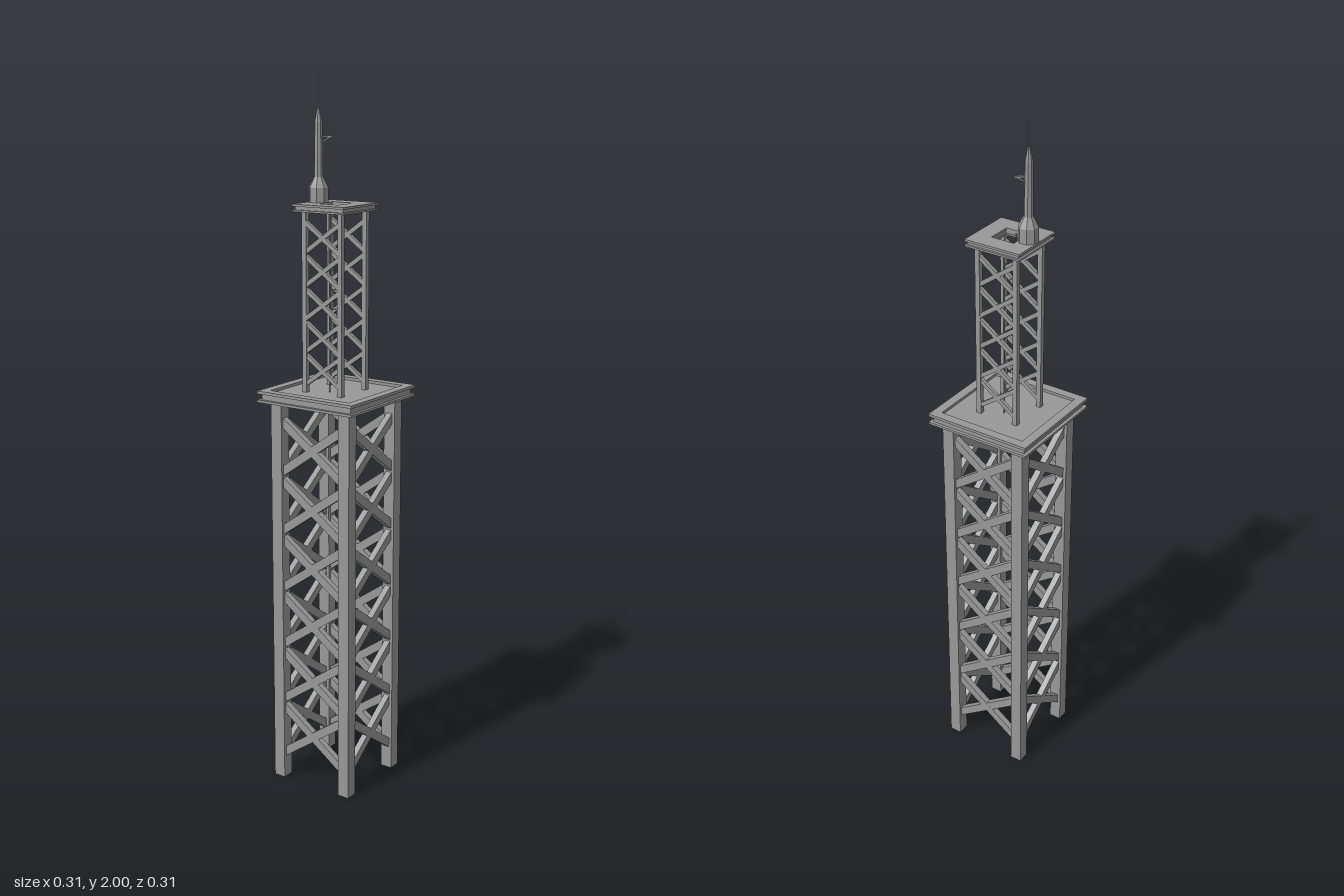
import * as THREE from 'three';

const steel = new THREE.MeshStandardMaterial({ color: 0x999999 });
steel.name = 'steel grey';

function add(parent, name, geometry, x = 0, y = 0, z = 0) {
  const mesh = new THREE.Mesh(geometry, steel);
  mesh.name = name;
  mesh.position.set(x, y, z);
  parent.add(mesh);
  return mesh;
}

function box(parent, name, w, h, d, x, y, z) {
  return add(parent, name, new THREE.BoxGeometry(w, h, d), x, y, z);
}

function group(parent, name) {
  const g = new THREE.Group();
  g.name = name;
  parent.add(g);
  return g;
}

// Four square corner posts
function posts(parent, name, offset, size, y0, y1) {
  for (const x of [-1, 1]) for (const z of [-1, 1])
    box(parent, name, size, y1 - y0, size, x * offset, (y0 + y1) / 2, z * offset);
}

// A column of crossed braces on one face, in the local xy plane
function crossBraces(parent, name, { halfW, halfH, thick, depth, first, step, count, offset }, angle) {
  const face = group(parent, name + 'Face');
  const length = 2 * Math.hypot(halfW, halfH);
  for (let i = 0; i < count; i++) for (const s of [-1, 1]) {
    const bar = box(face, name, length, thick, depth, 0, first + i * step, offset);
    bar.rotation.z = s * Math.atan2(halfH, halfW);
  }
  face.rotation.y = angle;
}

// Square horizontal plate, optionally with a square opening
function plate(parent, name, half, hole, y0, y1) {
  const square = (C, h) => {
    const p = new C();
    p.moveTo(-h, -h); p.lineTo(h, -h); p.lineTo(h, h); p.lineTo(-h, h); p.closePath();
    return p;
  };
  const shape = square(THREE.Shape, half);
  if (hole) shape.holes.push(square(THREE.Path, hole));
  const geo = new THREE.ExtrudeGeometry(shape, { depth: y1 - y0, bevelEnabled: false });
  geo.rotateX(-Math.PI / 2);
  add(parent, name, geo, 0, y0, 0);
}

export function createModel() {
  const model = new THREE.Group();
  model.name = 'latticeTower';

  // Lower tower
  const lower = group(model, 'lowerTower');
  posts(lower, 'lowerLeg', 0.112, 0.035, 0, 1.125);
  for (let i = 0; i < 4; i++)
    crossBraces(lower, 'lowerBrace', {
      halfW: 0.108, halfH: 0.077, thick: 0.024, depth: 0.018,
      first: 0.148, step: 0.1694, count: 6, offset: 0.112,
    }, i * Math.PI / 2);

  // Lower platform: flanged rim around a sunken deck
  const deck = group(model, 'lowerPlatform');
  plate(deck, 'rimBottomFlange', 0.156, 0.13, 1.12, 1.127);
  plate(deck, 'rimWeb', 0.147, 0.139, 1.127, 1.144);
  plate(deck, 'rimTopFlange', 0.156, 0.13, 1.144, 1.152);
  plate(deck, 'lowerDeck', 0.14, 0, 1.127, 1.144);

  // Upper tower, braced on front and back only
  const upper = group(model, 'upperTower');
  upper.position.x = -0.004;
  posts(upper, 'upperLeg', 0.058, 0.014, 1.144, 1.64);
  for (const angle of [0, Math.PI])
    crossBraces(upper, 'upperBrace', {
      halfW: 0.056, halfH: 0.04, thick: 0.012, depth: 0.01,
      first: 1.207, step: 0.09, count: 5, offset: 0.058,
    }, angle);

  // Ladder up the middle
  const ladder = group(upper, 'ladder');
  for (const s of [-1, 1])
    box(ladder, 'ladderRail', 0.003, 0.505, 0.003, 0, 1.397, s * 0.028);
  for (let i = 0; i < 9; i++)
    box(ladder, 'ladderRung', 0.002, 0.002, 0.056, 0, 1.21 + i * 0.0535, 0);

  // Upper platform with a hatch opening
  const top = group(upper, 'upperPlatform');
  plate(top, 'upperBottomFlange', 0.083, 0.034, 1.635, 1.64);
  plate(top, 'upperWeb', 0.077, 0.036, 1.64, 1.649);
  plate(top, 'upperDeck', 0.083, 0.034, 1.649, 1.655);

  // Antenna mast on the platform edge
  const mast = group(model, 'mast');
  mast.position.set(-0.06, 0, -0.001);
  const lathe = (name, pts, sides) => {
    const flat = new THREE.LatheGeometry(pts.map(([r, y]) => new THREE.Vector2(r, y)), sides)
      .toNonIndexed();
    flat.computeVertexNormals();
    flat.rotateY(Math.PI / sides);
    add(mast, name, flat);
  };
  lathe('mastBase', [[0, 1.655], [0.027, 1.655], [0.027, 1.695], [0.013, 1.722], [0, 1.722]], 8);
  lathe('mastShaft', [[0, 1.72], [0.013, 1.72], [0.011, 1.865], [0.004, 1.9], [0, 1.9]], 8);
  lathe('mastRod', [[0, 1.9], [0.002, 1.9], [0.002, 2], [0, 2]], 6);

  // Small side arm with strut
  const arm = group(mast, 'sideArm');
  arm.rotation.y = Math.PI / 4;
  box(arm, 'armBar', 0.036, 0.005, 0.007, 0.019, 1.827, 0);
  const strut = box(arm, 'armStrut', 0.028, 0.004, 0.004, 0.02, 1.82, 0);
  strut.rotation.z = 0.5;

  return model;
}
